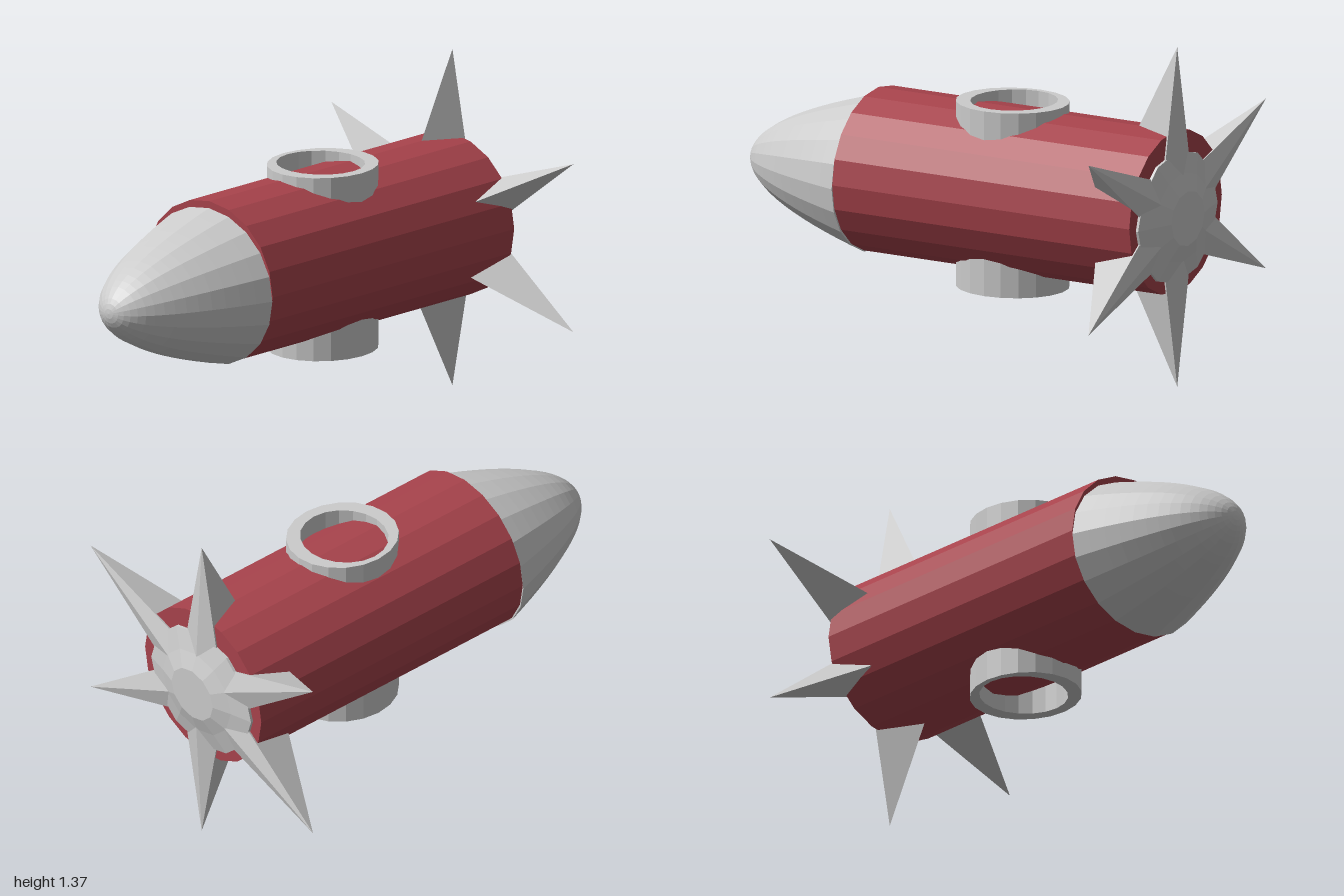
import * as THREE from 'three';

const SIDES = 20;
const grey = new THREE.MeshStandardMaterial({ color: 0xcccccc, flatShading: true });
const red = new THREE.MeshStandardMaterial({ color: 0xa8434c, flatShading: true });

function part(name, geometry, material) {
  const mesh = new THREE.Mesh(geometry, material);
  mesh.name = name;
  return mesh;
}

// corners of a faceted ellipse
function ellipse(cx, cy, rx, ry) {
  return Array.from({ length: SIDES }, (_, i) => {
    const a = (i / SIDES) * Math.PI * 2;
    return new THREE.Vector2(cx + rx * Math.cos(a), cy + ry * Math.sin(a));
  });
}

// collar around a round hatch, open in the middle
function hatchRing(name, bottom, top) {
  const shape = new THREE.Shape(ellipse(0.014, 0.2, 0.212, 0.228));
  shape.holes.push(new THREE.Path(ellipse(0.003, 0.2, 0.178, 0.17)));
  const geometry = new THREE.ExtrudeGeometry(shape, { depth: top - bottom, bevelEnabled: false });
  geometry.rotateX(-Math.PI / 2).translate(0, bottom, 0);
  return part(name, geometry, grey);
}

// four-sided spike pointing up, open where it sinks into the hub
function spikeGeometry() {
  const tip = [0, 0.683, -0.95];
  const rim = [
    [0, 0.2, -0.7],
    [0.085, 0.2, -0.95],
    [0, 0.17, -0.979],
    [-0.085, 0.2, -0.95],
  ];
  const corners = rim.flatMap((p, i) => [...tip, ...p, ...rim[(i + 1) % 4]]);
  const geometry = new THREE.BufferGeometry();
  geometry.setAttribute('position', new THREE.Float32BufferAttribute(corners, 3));
  geometry.computeVertexNormals();
  return geometry;
}

export function createModel() {
  const model = new THREE.Group();
  model.name = 'spikedCapsule';

  // body, slightly wider than tall
  const bodyGeometry = new THREE.CylinderGeometry(1, 1, 1.37, SIDES);
  bodyGeometry.rotateX(Math.PI / 2).scale(0.341, 0.326, 1).translate(0, 0.705, -0.257);
  model.add(part('body', bodyGeometry, red));

  // parabolic nose, closed at its base
  const profile = [new THREE.Vector2(0, 0.425)];
  for (let i = 0; i <= 16; i++) {
    const r = 1 - i / 16;
    profile.push(new THREE.Vector2(r, 1 - 0.57 * r * r));
  }
  const noseGeometry = new THREE.LatheGeometry(profile, SIDES);
  noseGeometry.rotateX(Math.PI / 2).scale(0.342, 0.314, 1).translate(0, 0.689, 0);
  model.add(part('nose', noseGeometry, grey));

  // hatch rings above and below
  model.add(hatchRing('upperHatchRing', 0.8, 1.06));
  model.add(hatchRing('lowerHatchRing', 0.317, 0.6));

  // rear star: stepped hub with six spikes
  const star = new THREE.Group();
  star.name = 'rearStar';
  const hubProfile = [[0, 0.93], [0.265, 0.93], [0.265, 0.953], [0.18, 0.976], [0.11, 1], [0, 1]];
  const hubGeometry = new THREE.LatheGeometry(hubProfile.map(([r, y]) => new THREE.Vector2(r, y)), 12);
  hubGeometry.rotateX(-Math.PI / 2);
  star.add(part('hub', hubGeometry, grey));
  const spike = spikeGeometry();
  for (let i = 0; i < 6; i++) {
    const mesh = part('spike', spike, grey);
    mesh.rotation.z = (i * Math.PI) / 3;
    star.add(mesh);
  }
  star.scale.x = 1.105;
  star.position.y = 0.686;
  model.add(star);

  return model;
}
